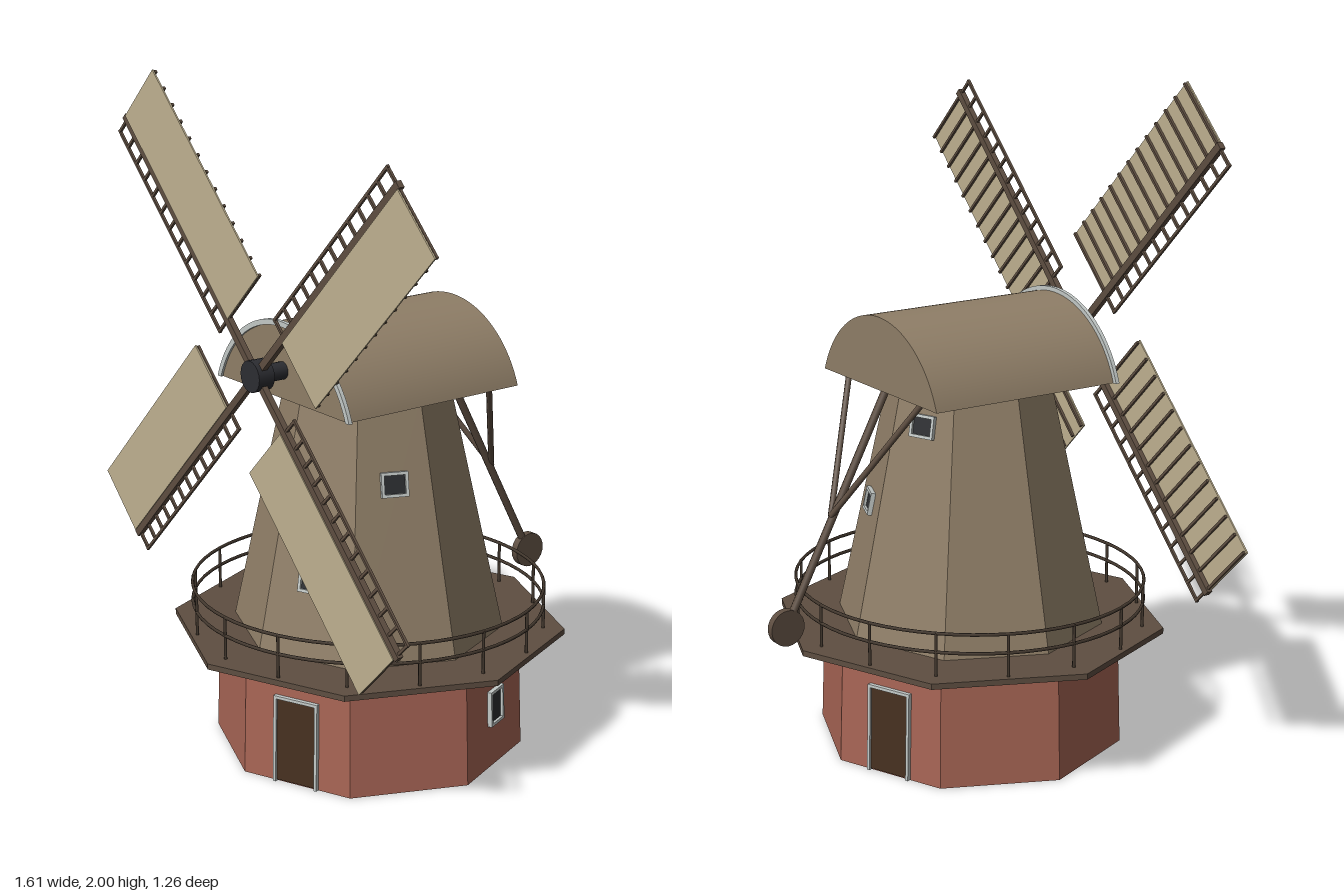
import * as THREE from 'three';
import { toCreasedNormals } from 'three/addons/utils/BufferGeometryUtils.js';

const mat = (name, color) => {
  const m = new THREE.MeshStandardMaterial({ color });
  m.name = name;
  return m;
};

export function createModel() {
  const brick = mat('brick', 0xa86555);
  const boards = mat('tower boards', 0x8f7e67);
  const wood = mat('dark wood', 0x5e4e41);
  const railWood = mat('railing wood', 0x43382e);
  const canvas = mat('sail canvas', 0xbfb190);
  const iron = mat('iron', 0x2c2d32);
  const trim = mat('pale trim', 0xc3c9c7);
  const glass = mat('window glass', 0x2b2d30);
  const doorWood = mat('door wood', 0x46301f);

  const model = new THREE.Group();
  model.name = 'windmill';

  const add = (parent, name, geo, material, x = 0, y = 0, z = 0) => {
    const m = new THREE.Mesh(geo, material);
    m.name = name;
    m.position.set(x, y, z);
    parent.add(m);
    return m;
  };
  const group = (parent, name) => {
    const g = new THREE.Group();
    g.name = name;
    parent.add(g);
    return g;
  };
  // Round beam between two points
  const beam = (parent, name, a, b, r, material, sides = 8) => {
    const p = new THREE.Vector3(...a), q = new THREE.Vector3(...b);
    const d = q.clone().sub(p);
    const m = add(parent, name, new THREE.CylinderGeometry(r, r, d.length(), sides), material);
    m.position.copy(p).add(q).multiplyScalar(0.5);
    m.quaternion.setFromUnitVectors(new THREE.Vector3(0, 1, 0), d.normalize());
    return m;
  };

  // Octagonal body, slightly shallower than wide
  const body = group(model, 'body');
  body.position.z = 0.053;
  body.scale.z = 0.963;

  const octagon = (name, rBottom, rTop, y0, y1, material) => {
    const geo = new THREE.CylinderGeometry(rTop, rBottom, y1 - y0, 8);
    add(body, name, toCreasedNormals(geo, 0.3), material, 0, (y0 + y1) / 2, 0);
    return { rBottom, rTop, y0, y1 };
  };
  const base = octagon('brickBase', 0.473, 0.461, 0, 0.355, brick);
  octagon('deck', 0.6, 0.6, 0.353, 0.37, wood);
  const tower = octagon('tower', 0.412, 0.246, 0.37, 1.115, boards);

  // Framed opening lying on a facet of a tapered octagon
  const opening = (name, part, degrees, y, w, h, fill) => {
    const k = Math.cos(Math.PI / 8);
    const t = (y - part.y0) / (part.y1 - part.y0);
    const apothem = k * (part.rBottom + (part.rTop - part.rBottom) * t);
    const a = THREE.MathUtils.degToRad(degrees);
    const g = group(body, name);
    g.rotation.order = 'YXZ';
    g.position.set(apothem * Math.sin(a), y, apothem * Math.cos(a));
    g.rotation.y = a;
    g.rotation.x = -Math.atan(k * (part.rBottom - part.rTop) / (part.y1 - part.y0));
    const f = 0.009;
    add(g, 'panel', new THREE.BoxGeometry(w - f, h - f, 0.012), fill);
    for (const s of [-1, 1]) {
      add(g, 'frameSide', new THREE.BoxGeometry(f, h, 0.028), trim, s * (w - f) / 2, 0, 0);
    }
    add(g, 'frameTop', new THREE.BoxGeometry(w, f, 0.028), trim, 0, (h - f) / 2, 0);
    if (fill === glass) add(g, 'frameSill', new THREE.BoxGeometry(w, f, 0.028), trim, 0, (f - h) / 2, 0);
  };
  opening('frontDoor', base, 22.5, 0.133, 0.148, 0.265, doorWood);
  opening('backDoor', base, 202.5, 0.133, 0.148, 0.265, doorWood);
  opening('baseWindow', base, 112.5, 0.184, 0.085, 0.108, glass);
  opening('towerWindow', tower, 22.5, 0.594, 0.082, 0.068, glass);
  opening('towerWindow', tower, 67.5, 0.88, 0.082, 0.072, glass);
  opening('towerWindow', tower, 157.5, 0.74, 0.082, 0.068, glass);
  opening('towerWindow', tower, 202.5, 1.01, 0.082, 0.068, glass);

  // Round gallery railing
  const railing = group(body, 'railing');
  for (const y of [0.441, 0.497]) {
    const ring = add(railing, 'rail', new THREE.TorusGeometry(0.535, 0.005, 6, 64), railWood, 0, y, 0);
    ring.rotation.x = Math.PI / 2;
  }
  for (let i = 0; i < 16; i++) {
    const a = (i / 16) * Math.PI * 2;
    add(railing, 'post', new THREE.CylinderGeometry(0.005, 0.005, 0.13, 6), railWood,
      0.535 * Math.cos(a), 0.434, 0.535 * Math.sin(a));
  }

  // Barrel-roofed cap with a pale front rim
  const R = 0.324, cy = 1.001, floor = 1.11;
  const a0 = Math.asin((floor - cy) / R);
  const extrude = (shape, depth) => toCreasedNormals(
    new THREE.ExtrudeGeometry(shape, { depth, bevelEnabled: false, curveSegments: 32 }), 0.4);
  const capShape = new THREE.Shape();
  capShape.absarc(0, cy, R, a0, Math.PI - a0, false);
  capShape.closePath();
  add(model, 'cap', extrude(capShape, 0.615), boards, 0, 0, -0.26);
  const Ro = 0.337, a1 = Math.asin((floor - cy) / Ro);
  const rimShape = new THREE.Shape();
  rimShape.absarc(0, cy, Ro, a1, Math.PI - a1, false);
  rimShape.absarc(0, cy, R - 0.003, Math.PI - a0, a0, true);
  rimShape.closePath();
  add(model, 'capRim', extrude(rimShape, 0.012), trim, 0, 0, 0.35);

  // Shaft, hub and four sails
  const rotor = group(model, 'rotor');
  rotor.position.y = 1.194;
  beam(rotor, 'shaft', [0, 0, 0.3], [0, 0, 0.43], 0.026, iron, 16);
  beam(rotor, 'hub', [0, 0, 0.415], [0, 0, 0.468], 0.046, iron, 20);
  for (let i = 0; i < 4; i++) {
    const sail = group(rotor, 'sail');
    sail.position.z = 0.445;
    sail.rotation.z = Math.PI / 4 + i * Math.PI / 2;
    add(sail, 'stock', new THREE.BoxGeometry(0.022, 0.915, 0.018), wood, 0, 0.4575, 0);
    add(sail, 'sheet', new THREE.BoxGeometry(0.216, 0.722, 0.005), canvas, 0.118, 0.548, 0.009);
    add(sail, 'latticeRail', new THREE.BoxGeometry(0.008, 0.722, 0.008), wood, -0.062, 0.548, 0);
    for (let j = 0; j < 13; j++) {
      add(sail, 'rung', new THREE.BoxGeometry(0.288, 0.008, 0.008), wood, 0.08, 0.192 + j * 0.0593, 0);
    }
  }

  // Tail pole with braces and winding wheel
  const tail = group(model, 'tail');
  beam(tail, 'tailPole', [0, 1.13, -0.225], [0, 0.45, -0.578], 0.012, wood);
  for (const s of [-1, 1]) {
    beam(tail, 'tailBrace', [s * 0.21, 1.13, -0.23], [0, 0.76, -0.425], 0.009, wood);
  }
  beam(tail, 'windingWheel', [-0.012, 0.452, -0.578], [0.012, 0.452, -0.578], 0.054, wood, 24);

  return model;
}
